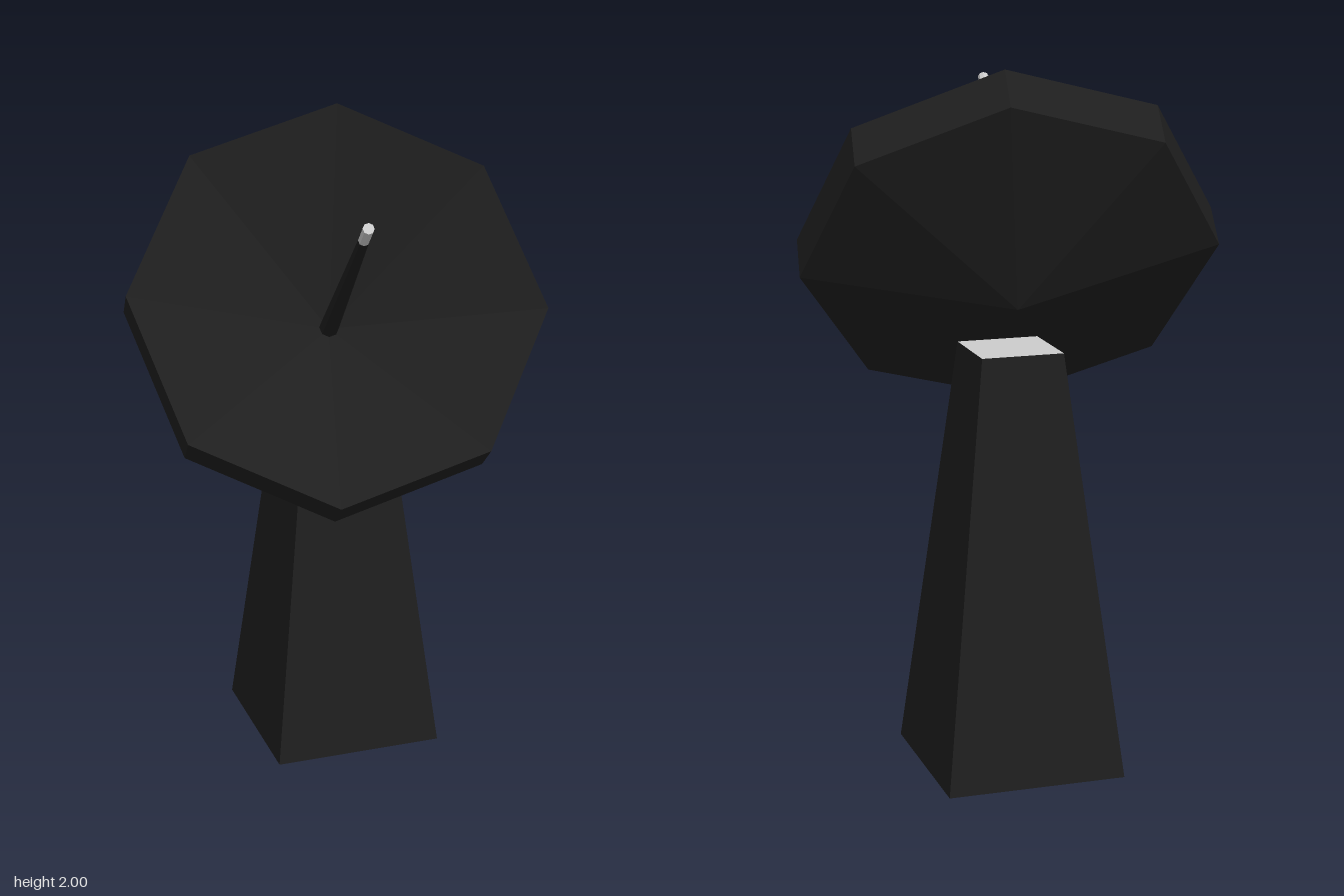
import * as THREE from 'three';

const black = new THREE.MeshStandardMaterial({ color: 0x1e1e1e, flatShading: true });
const grey = new THREE.MeshStandardMaterial({ color: 0xcccccc, flatShading: true });

function part(parent, name, geometry, material, x = 0, y = 0, z = 0) {
  const mesh = new THREE.Mesh(geometry, material);
  mesh.name = name;
  mesh.position.set(x, y, z);
  parent.add(mesh);
  return mesh;
}

export function createModel() {
  const model = new THREE.Group();
  model.name = 'dishAntenna';

  // Tapered square tower with a pale top face
  const height = 1.22;
  const tower = new THREE.CylinderGeometry(0.119 * Math.SQRT2, 0.26 * Math.SQRT2, height, 4);
  tower.rotateY(Math.PI / 4);
  part(model, 'tower', tower, [black, grey, black], 0.08, height / 2, -0.287);

  // Dish assembly: local y is the dish axis, local z points at one rim corner
  const axis = new THREE.Vector3(-0.138, 0.597, 0.79).normalize();
  const corner = new THREE.Vector3(0.11, 0.485, -0.345);
  const side = new THREE.Vector3().crossVectors(axis, corner).normalize();
  corner.crossVectors(side, axis);
  const head = new THREE.Group();
  head.name = 'dishAssembly';
  head.quaternion.setFromRotationMatrix(new THREE.Matrix4().makeBasis(side, axis, corner));
  head.position.set(-0.01, 1.515, 0.045);
  model.add(head);

  // Eight-sided dish: back cone, rim wall, hollow front
  const profile = [[0, -0.34], [0.607, -0.15], [0.607, 0], [0, -0.255]]
    .map(([r, t]) => new THREE.Vector2(r, t));
  part(head, 'dish', new THREE.LatheGeometry(profile, 8), black);

  // Feed rod rising from the dish centre, with a pale tip
  const rodStart = -0.27, tipStart = 0.535, tipEnd = 0.628;
  part(head, 'feedRod', new THREE.CylinderGeometry(0.016, 0.03, tipStart - rodStart, 8),
    black, 0, (rodStart + tipStart) / 2, 0);
  part(head, 'feedTip', new THREE.CylinderGeometry(0.016, 0.016, tipEnd - tipStart, 8),
    grey, 0, (tipStart + tipEnd) / 2, 0);

  return model;
}
